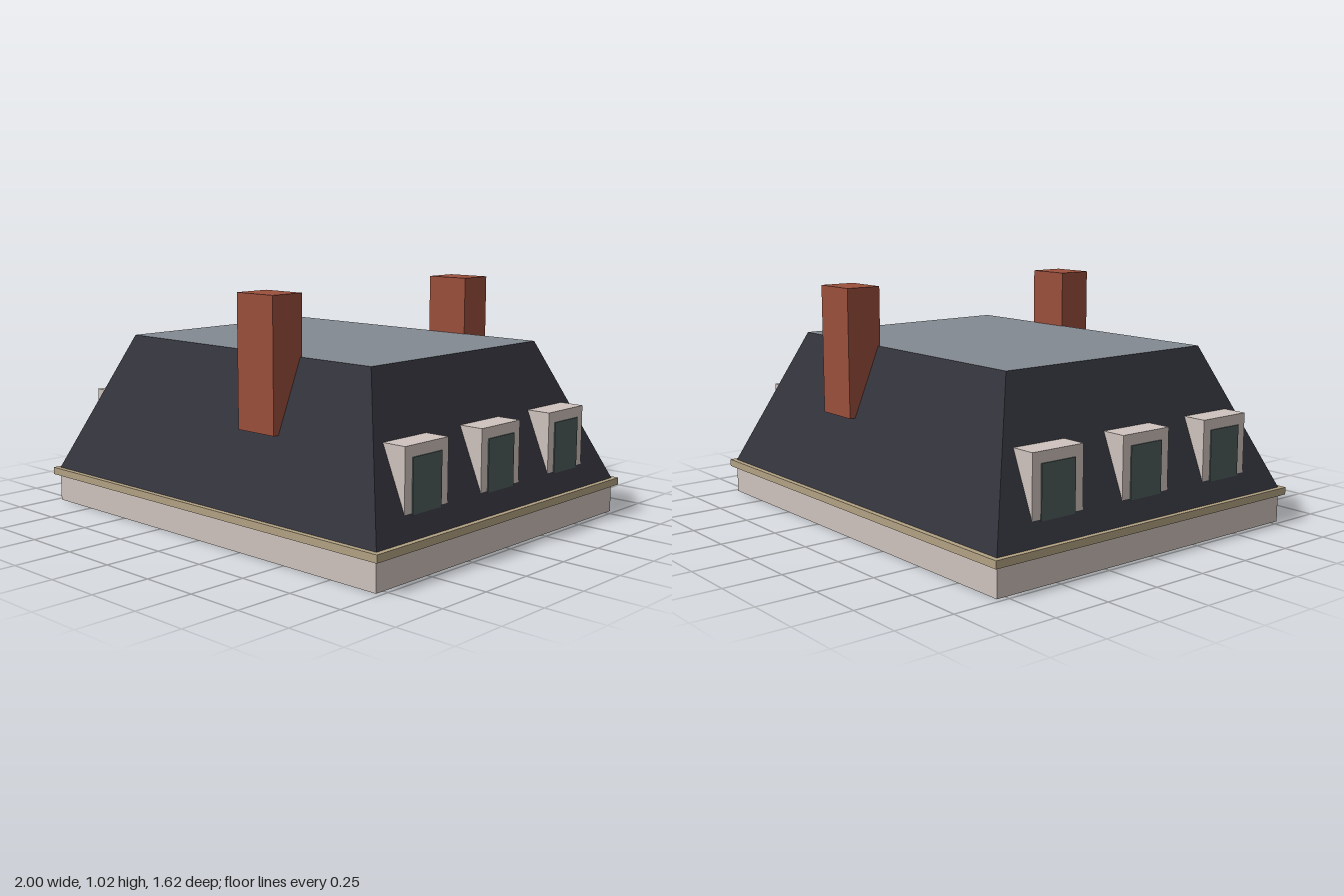
import * as THREE from 'three';

const mat = (name, color, side = THREE.FrontSide) => {
  const m = new THREE.MeshStandardMaterial({ color, side });
  m.name = name;
  return m;
};

export function createModel() {
  const stone = mat('pale stone', 0xcfc3bd, THREE.DoubleSide);
  const trim = mat('tan trim', 0xb3a283);
  const slate = mat('dark slate', 0x33333c);
  const deck = mat('grey roof deck', 0x828a92);
  const brick = mat('red brick', 0x9a4f3c);
  const glass = mat('window glass', 0x4c5b5b);

  const model = new THREE.Group();
  model.name = 'mansardRoof';

  const add = (parent, name, geometry, material, x = 0, y = 0, z = 0) => {
    const mesh = new THREE.Mesh(geometry, material);
    mesh.name = name;
    mesh.position.set(x, y, z);
    parent.add(mesh);
    return mesh;
  };

  // Wall band, open at the top and bottom
  const wallShape = new THREE.BoxGeometry(1.955, 0.12, 1.58);
  const sides = wallShape.groups.filter((g) => g.materialIndex !== 2 && g.materialIndex !== 3);
  wallShape.clearGroups();
  sides.forEach((g) => wallShape.addGroup(g.start, g.count, 0));
  add(model, 'wallBand', wallShape, [stone], 0, 0.06, 0);

  // Projecting cornice
  add(model, 'cornice', new THREE.BoxGeometry(2, 0.032, 1.625), trim, 0, 0.138, 0);

  // Steep roof: a box whose top corners are drawn in, with a flat grey deck
  const bottomY = 0.153, topY = 0.77;
  const roof = new THREE.BoxGeometry(2, 2, 2);
  const p = roof.attributes.position;
  for (let i = 0; i < p.count; i++) {
    const top = p.getY(i) > 0;
    p.setXYZ(i,
      p.getX(i) * (top ? 0.72 : 0.978),
      top ? topY : bottomY,
      p.getZ(i) * (top ? 0.535 : 0.79));
  }
  roof.computeVertexNormals();
  add(model, 'roof', roof, [slate, slate, deck, slate, slate, slate]);

  // Chimneys at front and back
  for (const s of [1, -1]) {
    add(model, s > 0 ? 'frontChimney' : 'backChimney',
      new THREE.BoxGeometry(0.205, 0.555, 0.16), brick, 0.24, 0.7475, s * 0.605);
  }

  // Wedge dormers with a thin window plate on the face, three on each side
  const width = 0.255;
  const wedge = new THREE.Shape([
    new THREE.Vector2(0.94, 0.24),
    new THREE.Vector2(0.94, 0.503),
    new THREE.Vector2(0.82, 0.503),
    new THREE.Vector2(0.93, 0.24),
  ]);
  const dormerShape = new THREE.ExtrudeGeometry(wedge, { depth: width, bevelEnabled: false });
  dormerShape.translate(0, 0, -width / 2);
  const windowShape = new THREE.BoxGeometry(0.008, 0.22, 0.17);

  for (const side of ['left', 'right']) {
    const row = new THREE.Group();
    row.name = side + 'Dormers';
    if (side === 'right') row.rotation.y = Math.PI;
    for (const z of [-0.465, 0, 0.465]) {
      add(row, 'dormer', dormerShape, stone, 0, 0, z);
      add(row, 'dormerWindow', windowShape, glass, 0.941, 0.347, z);
    }
    model.add(row);
  }

  return model;
}
